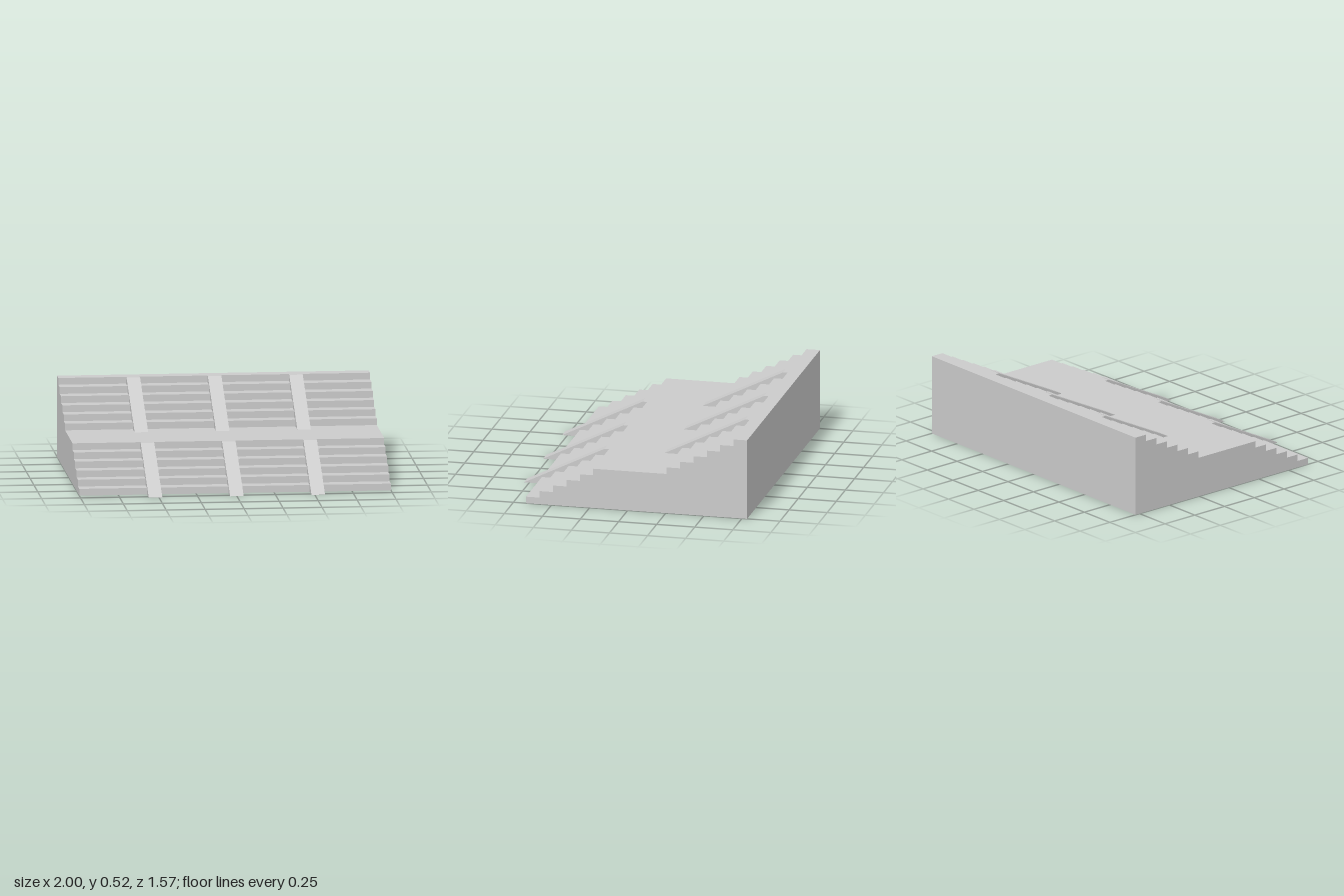
import * as THREE from 'three';

const RISER = 0.0437, TREAD = 0.0882, STEPS = 6;
const LANDING = RISER * STEPS, TOP = LANDING * 2;
const LOWER = -0.667, UPPER = 0.255, BACK = 0.784; // first risers and back wall, as depth (-z)

// Extrudes a (depth, height) side profile along x, centred on the given x
function extrudeProfile(name, points, width, x, material) {
  const shape = new THREE.Shape(points.map(([d, y]) => new THREE.Vector2(d, y)));
  const geometry = new THREE.ExtrudeGeometry(shape, { depth: width, bevelEnabled: false });
  geometry.translate(0, 0, -width / 2).rotateY(Math.PI / 2);
  const mesh = new THREE.Mesh(geometry, material);
  mesh.name = name;
  mesh.position.x = x;
  return mesh;
}

// Riser and tread corners of one flight
function flight(start, base) {
  const points = [];
  for (let i = 0; i < STEPS; i++) {
    const d = start + i * TREAD;
    points.push([d, base + i * RISER], [d, base + (i + 1) * RISER]);
  }
  return points;
}

export function createModel() {
  const group = new THREE.Group();
  group.name = 'staircase';
  const material = new THREE.MeshStandardMaterial({ color: 0xcccccc, flatShading: true });

  // Solid body: two flights with a broad landing between them
  const body = [...flight(LOWER, 0), ...flight(UPPER, LANDING), [BACK, TOP], [BACK, 0]];
  group.add(extrudeProfile('stairBody', body, 2, 0, material));

  // Sloping ramps, three on each flight, flush with the top of the flight
  const flights = [['lowerRamp', LOWER, 0], ['upperRamp', UPPER, LANDING]];
  for (const [name, start, base] of flights) {
    const end = start + (STEPS - 1) * TREAD;
    const foot = start - 0.117;
    const profile = [[foot, base], [foot + 0.529, base + LANDING], [end, base + LANDING], [end, base]];
    for (const x of [-0.522, 0, 0.522]) {
      group.add(extrudeProfile(name, profile, 0.087, x, material));
    }
  }
  return group;
}
